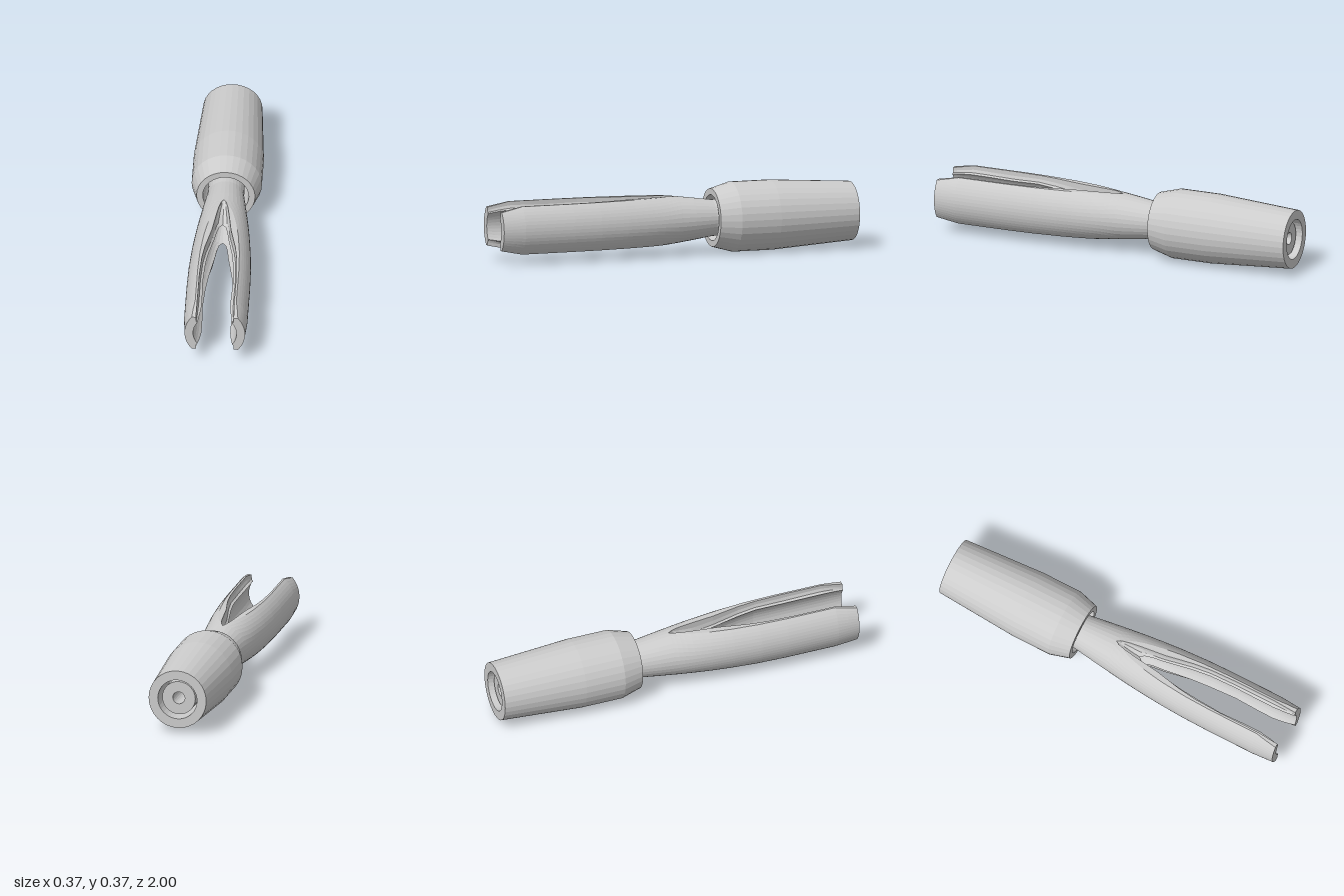
import * as THREE from 'three';

const AXIS_Y = 0.187;
const lerp = THREE.MathUtils.lerp;

// piecewise-linear curve through [z, value] pairs
function curve(pairs) {
  return (z) => {
    if (z <= pairs[0][0]) return pairs[0][1];
    for (let i = 1; i < pairs.length; i++) {
      const [z0, v0] = pairs[i - 1], [z1, v1] = pairs[i];
      if (z <= z1) return lerp(v0, v1, (z - z0) / (z1 - z0));
    }
    return pairs[pairs.length - 1][1];
  };
}

// lengthwise rules for the forked core
const outerR = curve([[-0.97, 0.09], [-0.22, 0.097], [-0.1, 0.114], [0, 0.127], [0.1, 0.139],
  [0.2, 0.149], [0.3, 0.157], [0.45, 0.165], [0.6, 0.168], [0.88, 0.168], [1, 0.16]]);
const flatY = curve([[0.88, 0.128], [1, 0.103]]);
const boreR = curve([[0, 0.033], [0.12, 0.06], [0.25, 0.075], [0.4, 0.1], [0.5, 0.112], [1, 0.115]]);
const slotOuter = curve([[-0.02, 0], [0, 0.012], [0.05, 0.024], [0.12, 0.034], [0.25, 0.05],
  [0.3, 0.06], [0.4, 0.08], [0.5, 0.092], [0.65, 0.098], [0.85, 0.098], [1, 0.1]]);
const slotInner = curve([[0.12, 0], [0.14, 0.017], [0.18, 0.027], [0.25, 0.036], [0.3, 0.045],
  [0.4, 0.062], [0.5, 0.073], [0.65, 0.08], [0.8, 0.076], [0.9, 0.076], [1, 0.092]]);
const stations = [-0.97, -0.22, -0.1, -0.02, 0, 0.025, 0.05, 0.085, 0.12, 0.14, 0.18, 0.25,
  0.3, 0.35, 0.4, 0.45, 0.5, 0.6, 0.65, 0.8, 0.88, 0.94, 1];

// closed outline of the left half at one station
function section(z) {
  const R = outerR(z), so = slotOuter(z), si = slotInner(z), r = boreR(z);
  const top = Math.min(flatY(z), Math.sqrt(R * R - so * so));
  const boreTop = Math.sqrt(r * r - si * si);
  // sloping floor where the slot has not yet broken into the bore
  const floor = z < 0.12 ? lerp(top, boreTop, Math.max(0, (z + 0.02) / 0.14)) : boreTop;
  const wall = [[1, 1], [1, 0.5], [0.7, 0.15], [0, 0]]
    .map(([u, v]) => [lerp(si, so, u), lerp(floor, top, v)]);
  const pts = [];
  const a = Math.min(Math.acos(so / R), Math.asin(Math.min(1, flatY(z) / R)));
  const b = Math.acos(si / r);
  const N = 16, M = 10;
  for (let i = 0; i <= N; i++) {
    const t = lerp(a, -a, i / N);
    pts.push([R * Math.cos(t), R * Math.sin(t)]);
  }
  wall.forEach(([x, y]) => pts.push([x, -y]));
  for (let i = 0; i <= M; i++) {
    const t = lerp(-b, b, i / M);
    pts.push([r * Math.cos(t), r * Math.sin(t)]);
  }
  wall.slice().reverse().forEach(([x, y]) => pts.push([x, y]));
  return pts;
}

function halfCoreGeometry() {
  const rings = stations.map(section);
  const n = rings[0].length;
  const pos = [], idx = [];
  rings.forEach((ring, k) => ring.forEach(([x, y]) => pos.push(x, y, stations[k])));
  for (let k = 0; k < rings.length - 1; k++) {
    for (let i = 0; i < n; i++) {
      const j = (i + 1) % n, a = k * n + i, b = k * n + j;
      idx.push(a, a + n, b, b, a + n, b + n);
    }
  }
  // end caps
  for (const k of [0, rings.length - 1]) {
    const outline = rings[k].map(([x, y]) => new THREE.Vector2(x, y));
    for (const [a, b, c] of THREE.ShapeUtils.triangulateShape(outline, [])) {
      const A = outline[a], B = outline[b], C = outline[c];
      const ccw = (B.x - A.x) * (C.y - A.y) - (B.y - A.y) * (C.x - A.x) > 0;
      const o = k * n;
      if (ccw === (k > 0)) idx.push(o + a, o + b, o + c);
      else idx.push(o + a, o + c, o + b);
    }
  }
  const g = new THREE.BufferGeometry();
  g.setAttribute('position', new THREE.Float32BufferAttribute(pos, 3));
  g.setIndex(idx);
  g.computeVertexNormals();
  return g;
}

export function createModel() {
  const group = new THREE.Group();
  group.name = 'slottedHolder';
  const mat = new THREE.MeshStandardMaterial({
    color: 0xcccccc, flatShading: true, side: THREE.DoubleSide,
  });

  // hollow tapered sleeve
  const profile = [[0.107, -1], [0.157, -1], [0.186, -0.55], [0.186, -0.33], [0.155, -0.22],
    [0.122, -0.22], [0.107, -0.6], [0.107, -1]].map(([x, y]) => new THREE.Vector2(x, y));
  const sleeve = new THREE.Mesh(new THREE.LatheGeometry(profile, 32), mat);
  sleeve.name = 'sleeve';
  sleeve.rotation.x = Math.PI / 2;
  sleeve.position.y = AXIS_Y;
  group.add(sleeve);

  // forked core: two identical halves turned about the long axis
  const half = halfCoreGeometry();
  ['leftProng', 'rightProng'].forEach((name, i) => {
    const prong = new THREE.Mesh(half, mat);
    prong.name = name;
    prong.rotation.z = i * Math.PI;
    prong.position.y = AXIS_Y;
    group.add(prong);
  });
  return group;
}
